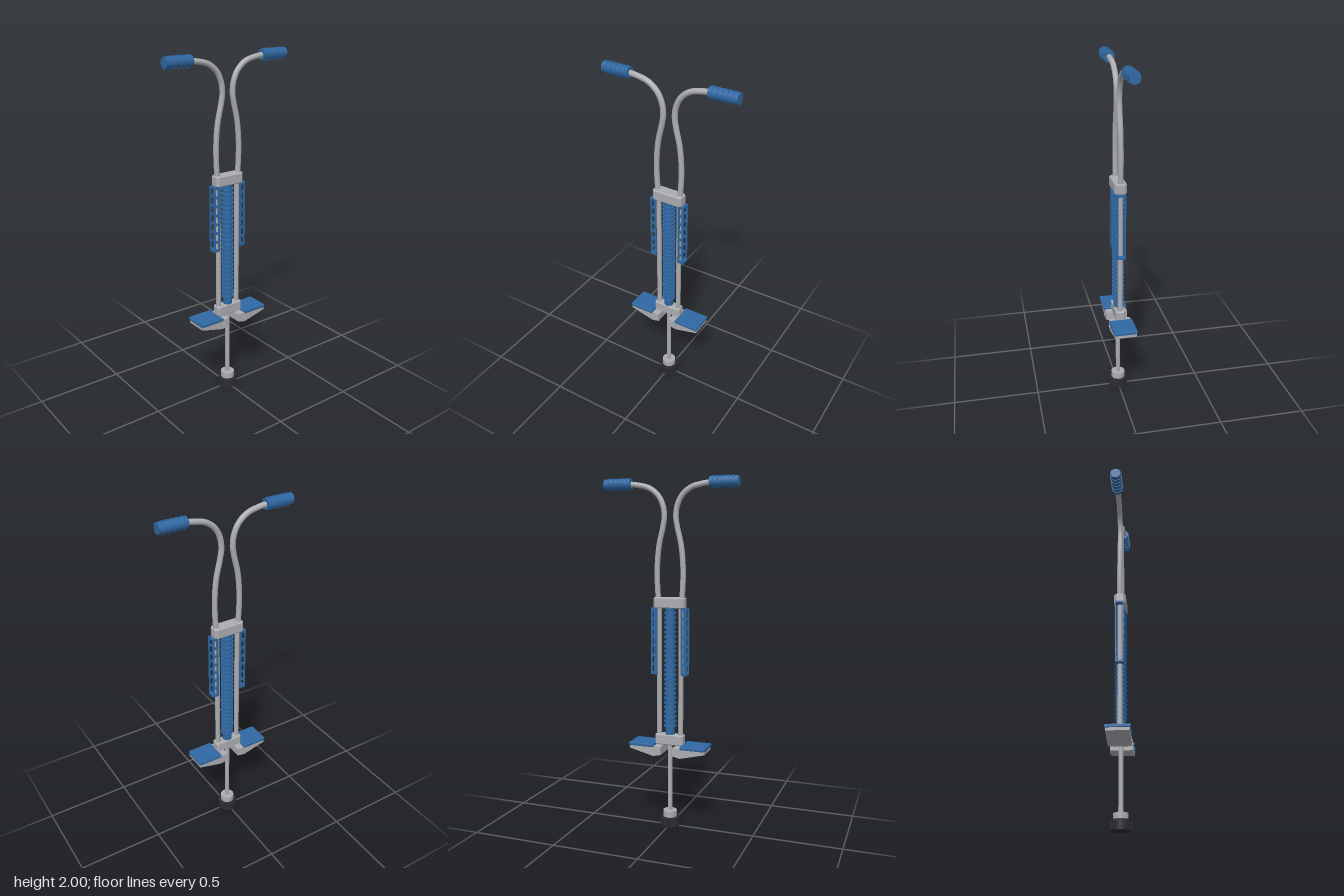
import * as THREE from 'three';
import { RoundedBoxGeometry } from 'three/addons/geometries/RoundedBoxGeometry.js';

const material = (name, color) => {
  const m = new THREE.MeshStandardMaterial({ color });
  m.name = name;
  return m;
};

export function createModel() {
  const blue = material('blue plastic', 0x2f68a3);
  const metal = material('grey metal', 0xacadb1);
  const rubber = material('black rubber', 0x2b2c2f);
  const model = new THREE.Group();
  model.name = 'pogoStick';

  const add = (parent, name, geometry, mat, x = 0, y = 0, z = 0) => {
    const mesh = new THREE.Mesh(geometry, mat);
    mesh.name = name;
    mesh.position.set(x, y, z);
    parent.add(mesh);
    return mesh;
  };
  const box = (w, h, d) => new THREE.BoxGeometry(w, h, d);
  const rod = (r, h, sides = 24) => new THREE.CylinderGeometry(r, r, h, sides);
  const shapeOf = (points) => new THREE.Shape(points.map((p) => new THREE.Vector2(...p)));

  // Crosspiece with clipped corners and a small bevel, centred on its own middle
  const crosspiece = (halfW, height, halfD, clip) => {
    const b = 0.005, w = halfW - b, d = halfD - b;
    const g = new THREE.ExtrudeGeometry(shapeOf([
      [-w + clip, -d], [w - clip, -d], [w, -d + clip], [w, d - clip],
      [w - clip, d], [-w + clip, d], [-w, d - clip], [-w, -d + clip],
    ]), { depth: height - 2 * b, bevelEnabled: true, bevelSize: b, bevelThickness: b, bevelSegments: 1 });
    return g.center().rotateX(Math.PI / 2);
  };

  // Foot, collar and plunger rod
  add(model, 'rubberFoot', rod(0.055, 0.055, 32), rubber, 0, 0.0275);
  for (let i = 0; i < 24; i++) {
    const a = (i / 24) * Math.PI * 2;
    const tread = add(model, 'footTread', box(0.004, 0.045, 0.006), rubber,
      Math.cos(a) * 0.0545, 0.0275, Math.sin(a) * 0.0545);
    tread.rotation.y = -a;
  }
  add(model, 'footCollar', rod(0.04, 0.036, 32), metal, 0, 0.073);
  add(model, 'plungerRod', rod(0.0135, 0.46), metal, 0, 0.3);

  // Upper and lower crosspieces
  add(model, 'lowerCrosspiece', crosspiece(0.085, 0.062, 0.028, 0.006), metal, 0, 0.52);
  add(model, 'upperCrosspiece', crosspiece(0.092, 0.06, 0.034, 0.012), metal, 0, 1.31);

  // Ribbed sleeve over the spring
  add(model, 'springSleeve', rod(0.027, 0.73), blue, 0, 0.915);
  for (let i = 0; i < 25; i++) {
    add(model, 'sleeveRib', rod(0.036, 0.009), blue, 0, 0.6 + i * 0.0272);
  }

  // Perforated guard panel with seven slots
  const panelShape = shapeOf([[0.07, 0.9], [0.107, 0.9], [0.107, 1.282], [0.07, 1.282]]);
  for (let i = 0; i < 7; i++) {
    const y = 0.915 + i * 0.0523;
    panelShape.holes.push(new THREE.Path([[0.081, y], [0.081, y + 0.037], [0.098, y + 0.037], [0.098, y]]
      .map((p) => new THREE.Vector2(...p))));
  }
  const panel = new THREE.ExtrudeGeometry(panelShape, { depth: 0.006, bevelEnabled: false });

  // Wedge-shaped pedal bracket
  const bracket = new THREE.ExtrudeGeometry(shapeOf([
    [0.036, 0.485], [0.036, 0.437], [0.082, 0.427], [0.227, 0.463], [0.227, 0.485],
  ]), { depth: 0.126, bevelEnabled: false }).translate(0, 0, -0.063);

  // Handlebar sweep
  const bar = new THREE.TubeGeometry(new THREE.CatmullRomCurve3([
    [0.07, 1.32], [0.076, 1.42], [0.076, 1.52], [0.065, 1.63], [0.042, 1.73], [0.034, 1.785],
    [0.042, 1.845], [0.07, 1.9], [0.12, 1.94], [0.18, 1.957], [0.25, 1.966],
  ].map(([x, y]) => new THREE.Vector3(x, y, 0))), 64, 0.0155, 16);

  // Pieces on the model's left, turned half around for the right
  const buildSide = (name) => {
    const side = new THREE.Group();
    side.name = name;
    add(side, 'sideColumn', rod(0.0145, 0.76), metal, 0.065, 0.915);

    // Open guard around the column
    add(side, 'guardFront', panel, blue, 0, 0, 0.018);
    add(side, 'guardBack', panel, blue, 0, 0, -0.024);
    for (const y of [0.905, 1.277]) {
      add(side, 'guardEndBar', box(0.037, 0.01, 0.046), blue, 0.0885, y);
    }

    // Pedal
    add(side, 'pedalBracket', bracket, metal);
    add(side, 'pedalPad', new RoundedBoxGeometry(0.15, 0.019, 0.138, 2, 0.004), blue, 0.155, 0.489);

    // Handlebar and ribbed grip
    add(side, 'handlebar', bar, metal);
    add(side, 'grip', rod(0.0305, 0.16).rotateZ(Math.PI / 2), blue, 0.31, 1.966);
    for (let i = 0; i < 5; i++) {
      add(side, 'gripRib', rod(0.034, 0.006).rotateZ(Math.PI / 2), blue, 0.249 + i * 0.028, 1.966);
    }
    model.add(side);
    return side;
  };
  buildSide('leftSide');
  buildSide('rightSide').rotation.y = Math.PI;

  // Pedal bolts on the front
  for (const s of [-1, 1]) {
    add(model, 'pedalBolt', rod(0.008, 0.008, 12).rotateX(Math.PI / 2), metal, s * 0.072, 0.455, 0.065);
  }
  return model;
}
